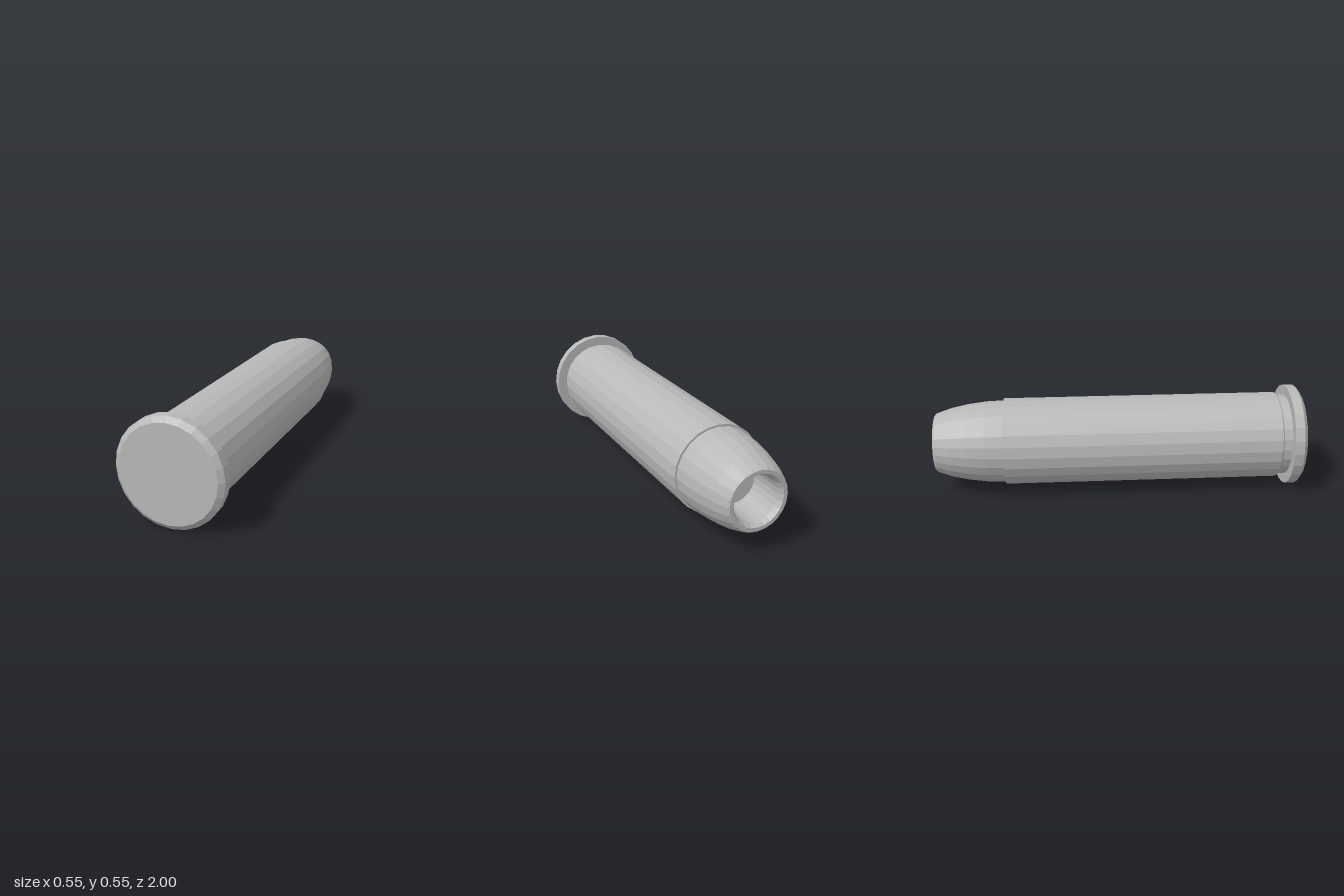
import * as THREE from 'three';

const SIDES = 24;
const CENTRE_Y = 0.277;

// Faceted solid of revolution around z; profile is [radius, z], back to front
function turned(name, profile, material) {
  const points = profile.map(([r, z]) => new THREE.Vector2(r, z));
  const geometry = new THREE.LatheGeometry(points, SIDES).rotateX(Math.PI / 2).toNonIndexed();
  geometry.computeVertexNormals();
  const mesh = new THREE.Mesh(geometry, material);
  mesh.name = name;
  mesh.position.y = CENTRE_Y;
  return mesh;
}

export function createModel() {
  const grey = new THREE.MeshStandardMaterial({ color: 0xb8b8b8 });
  grey.name = 'plain grey';
  const group = new THREE.Group();
  group.name = 'cartridge';

  // Hollow tip: cavity floor, cavity wall, lip, then the curved outside
  group.add(turned('hollowTip', [
    [0, -0.78], [0.115, -0.78], [0.12, -0.975], [0.135, -1], [0.155, -1],
    [0.163, -0.99], [0.19, -0.91], [0.209, -0.82], [0.222, -0.72], [0.226, -0.62], [0.226, -0.6],
  ], grey));

  // Case wall from the mouth to the extractor groove
  group.add(turned('caseBody', [
    [0.222, -0.624], [0.237, -0.624], [0.237, 0.872], [0.231, 0.88], [0.222, 0.88],
  ], grey));
  group.add(turned('extractorGroove', [[0.222, 0.87], [0.222, 0.94]], grey));

  // Wide rim with a bevelled front edge and flat base
  group.add(turned('rim', [
    [0.215, 0.928], [0.277, 0.928], [0.277, 0.978], [0.25, 1], [0, 1],
  ], grey));

  return group;
}
